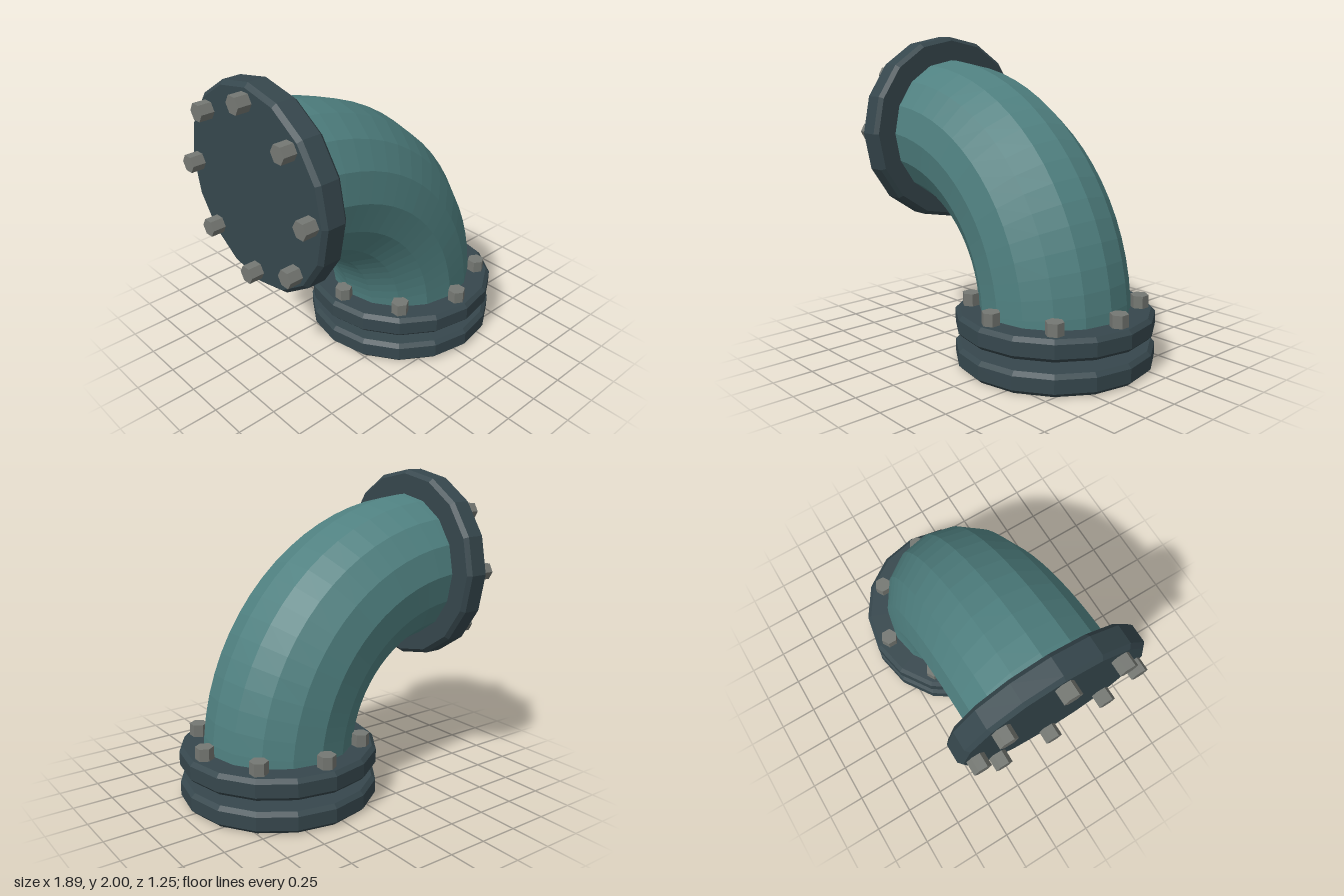
import * as THREE from 'three';

const material = (color) => new THREE.MeshStandardMaterial({ color, flatShading: true });

export function createModel() {
  const model = new THREE.Group();
  const pipeMat = material(0x4f8080);
  const flangeMat = material(0x36474d);
  const boltMat = material(0x757873);

  const add = (parent, name, geometry, mat, x = 0, y = 0, z = 0) => {
    const mesh = new THREE.Mesh(geometry, mat);
    mesh.name = name;
    mesh.position.set(x, y, z);
    parent.add(mesh);
    return mesh;
  };

  // Solid 16-sided disc with chamfered rims, standing on its own y = 0
  const discGeometry = (thickness, radius = 0.625, chamfer = 0.025) =>
    new THREE.LatheGeometry([
      new THREE.Vector2(0, 0),
      new THREE.Vector2(radius - chamfer, 0),
      new THREE.Vector2(radius, chamfer),
      new THREE.Vector2(radius, thickness - chamfer),
      new THREE.Vector2(radius - chamfer, thickness),
      new THREE.Vector2(0, thickness),
    ], 16);

  // Flange with a ring of eight hexagonal bolt heads on its upper face
  const boltedFlange = (name, thickness, boltHeight) => {
    const group = new THREE.Group();
    group.name = name;
    add(group, 'flangeDisc', discGeometry(thickness), flangeMat);
    const sunk = 0.02;
    const bolt = new THREE.CylinderGeometry(0.057, 0.057, boltHeight + sunk, 6);
    for (let i = 0; i < 8; i++) {
      const a = (i * Math.PI) / 4;
      add(group, 'bolt', bolt, boltMat,
        0.525 * Math.cos(a), thickness + (boltHeight - sunk) / 2, 0.525 * Math.sin(a));
    }
    model.add(group);
    return group;
  };

  // Quarter-turn pipe, its ends buried in the flanges
  add(model, 'elbowPipe', new THREE.TorusGeometry(1.1, 0.473, 16, 18, Math.PI / 2),
    pipeMat, -0.782, 0.272);

  // Lower joint: bolted flange above a separate plain one
  boltedFlange('lowerFlange', 0.135, 0.078).position.set(0.318, 0.205, 0);
  add(model, 'baseFlange', discGeometry(0.135), flangeMat, 0.318, 0, 0);

  // Side flange, bolts facing outwards to -x
  const side = boltedFlange('sideFlange', 0.165, 0.085);
  side.rotation.z = Math.PI / 2;
  side.position.set(-0.7, 1.374, 0);

  return model;
}
